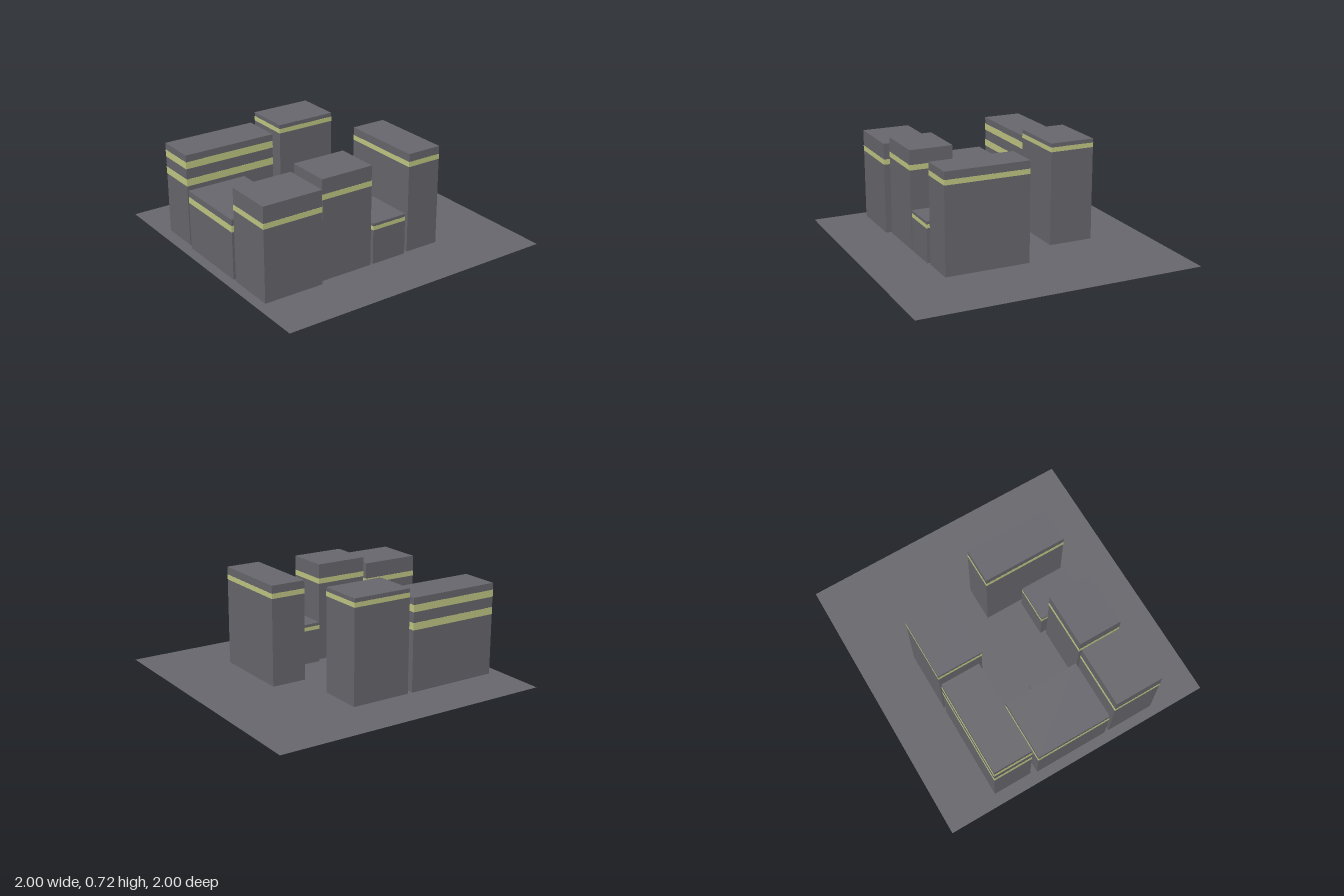
import * as THREE from 'three';

export function createModel() {
  const city = new THREE.Group();
  city.name = 'cityBlock';
  const concrete = new THREE.MeshStandardMaterial({ color: 0x68686e, side: THREE.DoubleSide });
  concrete.name = 'concreteGrey';
  const light = new THREE.MeshStandardMaterial({ color: 0xc3c985 });
  light.name = 'windowYellow';

  // Box given by its footprint and its bottom and top heights
  function block(name, [x0, x1, z0, z1], y0, y1, material, grow = 0) {
    const geometry = new THREE.BoxGeometry(x1 - x0 + 2 * grow, y1 - y0, z1 - z0 + 2 * grow);
    const mesh = new THREE.Mesh(geometry, material);
    mesh.position.set((x0 + x1) / 2, (y0 + y1) / 2, (z0 + z1) / 2);
    mesh.name = name;
    return mesh;
  }

  // Flat ground sheet
  const ground = new THREE.Mesh(new THREE.PlaneGeometry(2, 2).rotateX(-Math.PI / 2), concrete);
  ground.name = 'ground';
  city.add(ground);

  // Buildings: footprint [x0, x1, z0, z1], height, lit window bands [bottom, top]
  const buildings = [
    ['backTower', [-0.02, 0.58, -0.46, -0.21], 0.70, [[0.61, 0.645]]],
    ['lowHouse', [0.245, 0.59, -0.18, 0.08], 0.29, [[0.243, 0.27]]],
    ['leftTower', [0.28, 0.59, 0.10, 0.48], 0.70, [[0.56, 0.597]]],
    ['frontLeftTower', [0.28, 0.625, 0.505, 0.93], 0.65, [[0.50, 0.537]]],
    ['frontHall', [-0.295, 0.25, 0.505, 0.93], 0.42, [[0.333, 0.377]]],
    ['frontRightTower', [-0.62, -0.34, 0.245, 0.915], 0.65, [[0.43, 0.48], [0.553, 0.602]]],
    ['rightTower', [-0.62, -0.30, -0.22, 0.21], 0.72, [[0.66, 0.692]]],
  ];
  for (const [name, footprint, height, bands] of buildings) {
    const building = new THREE.Group();
    building.name = name;
    building.add(block('walls', footprint, 0, height, concrete));
    for (const [y0, y1] of bands) {
      building.add(block('windowBand', footprint, y0, y1, light, 0.001));
    }
    city.add(building);
  }

  // Small post in the courtyard
  city.add(block('courtyardPost', [-0.033, -0.007, 0.387, 0.413], 0, 0.03, concrete));

  return city;
}
